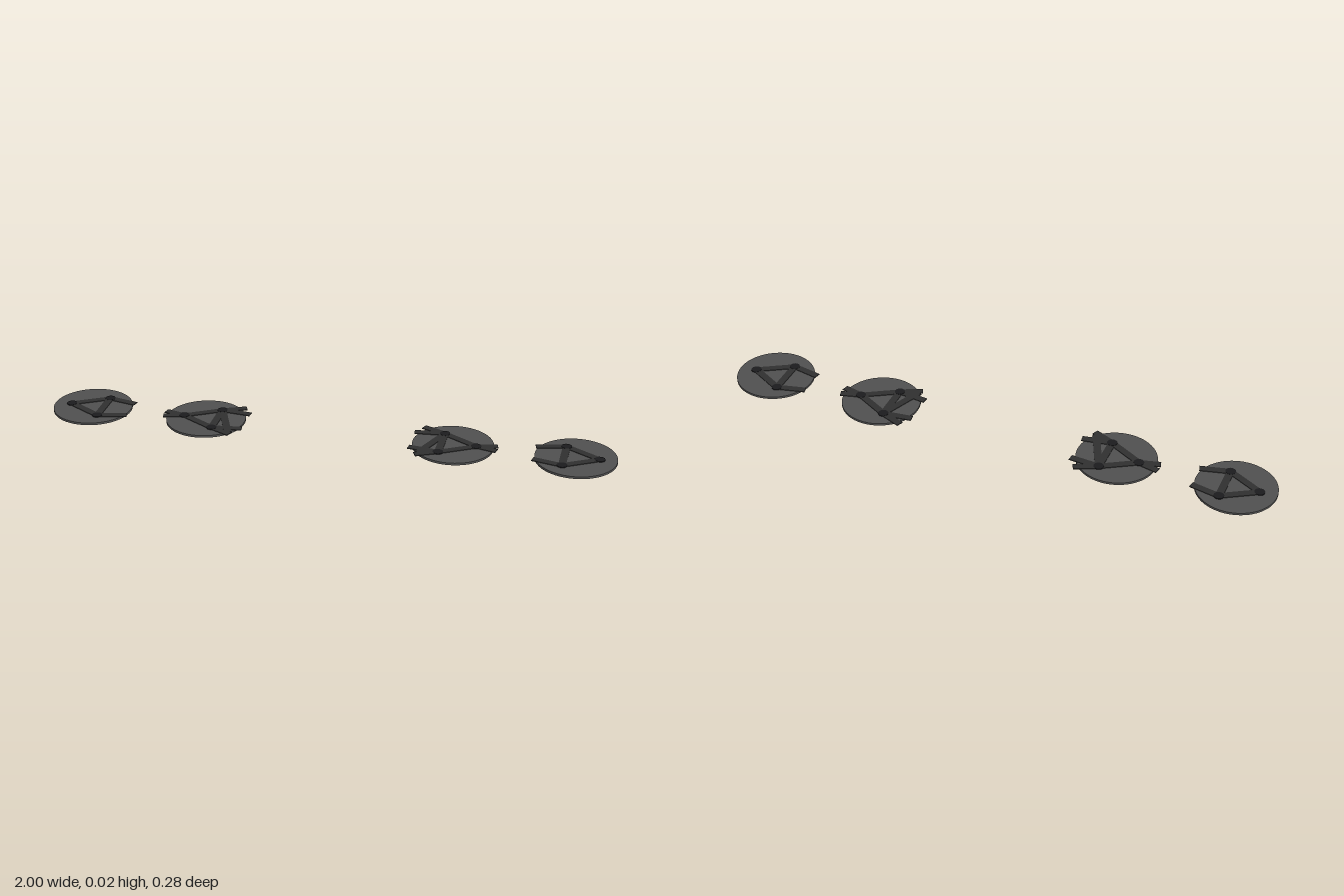
import * as THREE from 'three';

const mat = (color) => new THREE.MeshStandardMaterial({ color });

export function createModel() {
  const model = new THREE.Group();
  const discMat = mat(0x505050), baseMat = mat(0x17181c);
  const barMat = mat(0x303030), nodeMat = mat(0x1c1c1e);

  const add = (group, name, geometry, material, x, y, z) => {
    const mesh = new THREE.Mesh(geometry, material);
    mesh.name = name;
    mesh.position.set(x, y, z);
    group.add(mesh);
    return mesh;
  };

  // flat bar lying on the plate between two [x, z] points
  const addBar = (group, name, a, b) => {
    const dx = b[0] - a[0], dz = b[1] - a[1];
    const bar = add(group, name, new THREE.BoxGeometry(Math.hypot(dx, dz), 0.003, 0.026), barMat,
      (a[0] + b[0]) / 2, 0.0145, (a[1] + b[1]) / 2);
    bar.rotation.y = -Math.atan2(dz, dx);
  };

  // plate with a slimmer foot, a triangle of linked nodes and loose bar ends past the rim
  const addPlate = (name, x, nodes, stubs) => {
    const plate = new THREE.Group();
    plate.name = name;
    plate.position.x = x;
    add(plate, 'foot', new THREE.CylinderGeometry(0.128, 0.128, 0.006, 64), baseMat, 0, 0.003, 0);
    add(plate, 'disc', new THREE.CylinderGeometry(0.14, 0.14, 0.008, 64), discMat, 0, 0.01, 0);
    nodes.forEach((p, i) => {
      add(plate, 'node', new THREE.CylinderGeometry(0.018, 0.018, 0.004, 20), nodeMat, p[0], 0.0148, p[1]);
      addBar(plate, 'link', p, nodes[(i + 1) % 3]);
    });
    stubs.forEach(([i, end]) => addBar(plate, 'barEnd', nodes[i], end));
    model.add(plate);
  };

  // the two sides mirror each other
  for (const [side, s] of [['left', 1], ['right', -1]]) {
    const flip = (points) => points.map(([x, z]) => [x * s, z]);
    const flipStubs = (stubs) => stubs.map(([i, [x, z]]) => [i, [x * s, z]]);

    addPlate(side + 'OuterPlate', 0.86 * s,
      flip([[0.08, 0], [-0.04, -0.07], [-0.04, 0.07]]),
      flipStubs([[1, [-0.142, -0.047]], [2, [-0.142, 0.047]]]));

    addPlate(side + 'InnerPlate', 0.44 * s,
      flip([[0.08, 0], [-0.04, -0.07], [-0.04, 0.07]]),
      flipStubs([
        [0, [0.152, -0.018]], [0, [0.152, 0.018]],
        [1, [-0.12, -0.105]], [1, [-0.145, -0.06]], [1, [-0.105, 0.09]],
        [2, [-0.145, 0.055]], [2, [-0.115, 0.105]],
      ]));
  }
  return model;
}
